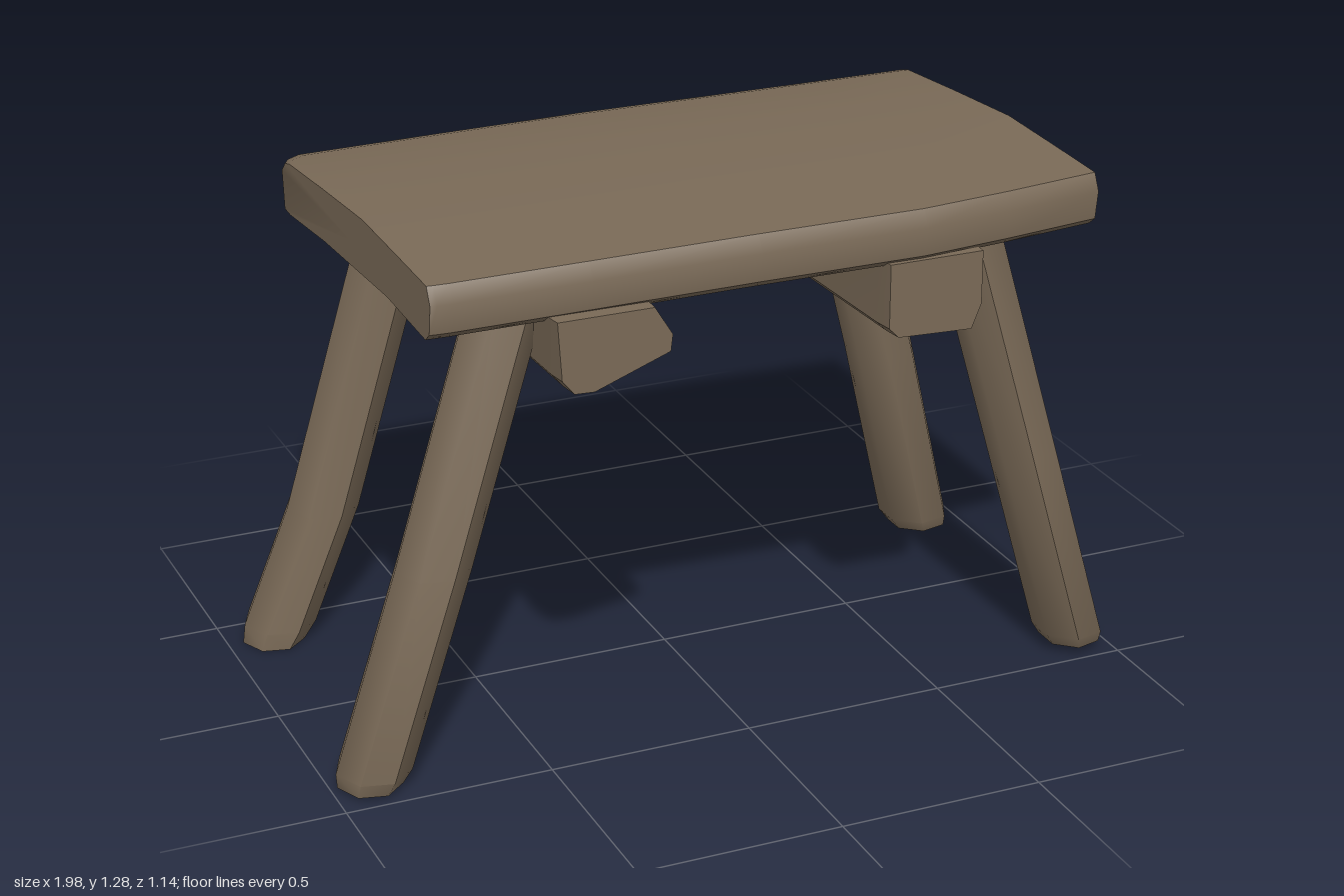
import * as THREE from 'three';
import { toCreasedNormals } from 'three/addons/utils/BufferGeometryUtils.js';

// Skin a closed solid over rings that all have the same number of [x, y, z] points.
function loft(rings, crease) {
  const n = rings[0].length, last = rings.length - 1;
  const center = (r) => [0, 1, 2].map((k) => r.reduce((s, p) => s + p[k], 0) / n);
  const points = [...rings.flat(), center(rings[0]), center(rings[last])];
  const c0 = n * rings.length, c1 = c0 + 1, tris = [];
  for (let j = 0; j < n; j++) {
    const k = (j + 1) % n;
    for (let i = 0; i < last; i++) {
      const a = i * n + j, b = i * n + k;
      tris.push([a, b, b + n], [a, b + n, a + n]);
    }
    tris.push([c0, k, j], [c1, last * n + j, last * n + k]);
  }
  // Turn the faces outward if the rings ran the other way round.
  const v = points.map((p) => new THREE.Vector3(...p));
  const volume = tris.reduce((s, [a, b, c]) => s + v[a].dot(v[b].clone().cross(v[c])), 0);
  if (volume < 0) tris.forEach((t) => t.reverse());
  const geometry = new THREE.BufferGeometry();
  geometry.setAttribute('position', new THREE.Float32BufferAttribute(points.flat(), 3));
  geometry.setIndex(tris.flat());
  return toCreasedNormals(geometry, crease);
}

export function createModel() {
  const model = new THREE.Group();
  model.name = 'stool';
  const wood = new THREE.MeshStandardMaterial({ color: 0x7a6a57 });
  wood.name = 'brown wood';
  const add = (name, geometry) => {
    const mesh = new THREE.Mesh(geometry, wood);
    mesh.name = name;
    model.add(mesh);
  };

  // Seat: one rounded plank section, carried along x with a gentle rise to the left.
  const section = [
    [1, 1.195], [0.96, 1.235], [0.6, 1.24], [0.15, 1.245], [-0.4, 1.225], [-0.88, 1.205],
    [-0.95, 1.195], [-1, 1.17], [-0.98, 1.075], [-0.9, 1.073], [-0.4, 1.095], [0.45, 1.115],
    [0.93, 1.105], [0.98, 1.125],
  ];
  const stations = [ // x, back z, front z
    [-0.77, -0.525, 0.51], [-0.755, -0.55, 0.513], [-0.72, -0.572, 0.517], [-0.4, -0.565, 0.53],
    [0, -0.552, 0.545], [0.4, -0.522, 0.567], [0.62, -0.506, 0.553], [0.86, -0.49, 0.53],
  ];
  add('seat', loft(stations.map(([x, back, front]) => section.map(([t, y]) => [
    x, y + 0.035 * (x + 0.77) / 1.63, (back + front) / 2 + t * (front - back) / 2,
  ])), 0.7));

  // Legs: splayed seven-sided posts with slightly chamfered feet.
  const leg = (name, path, rx, rz, turn) => {
    const rings = path.map(([x, y, z], i) => {
      const s = i === 0 ? 0.86 : 1;
      return Array.from({ length: 7 }, (_, j) => {
        const a = turn + j * Math.PI * 2 / 7;
        return [x + rx * s * Math.cos(a), y, z + rz * s * Math.sin(a)];
      });
    });
    add(name, loft(rings, 0.95));
  };
  leg('frontLeftLeg',
    [[0.915, 0.02, 0.405], [0.908, 0.05, 0.405], [0.77, 0.55, 0.385], [0.605, 1.15, 0.355]],
    0.085, 0.095, 0);
  leg('backLeftLeg',
    [[0.875, 0.02, -0.34], [0.865, 0.05, -0.34], [0.74, 0.55, -0.315], [0.59, 1.13, -0.305]],
    0.09, 0.092, 0);
  leg('frontRightLeg',
    [[-0.91, 0.01, 0.4], [-0.9, 0.045, 0.4], [-0.74, 0.52, 0.39], [-0.535, 1.13, 0.35]],
    0.09, 0.097, Math.PI);
  leg('backRightLeg',
    [[-0.885, 0, -0.4], [-0.865, 0.045, -0.405], [-0.745, 0.34, -0.4], [-0.54, 1.12, -0.34]],
    0.09, 0.097, Math.PI);

  // Cross battens under the seat, dropping a little toward the back.
  const batten = (name, outline) => {
    const cx = outline.reduce((s, p) => s + p[0], 0) / outline.length;
    const ends = [[0.555, 0.01, 0.96], [0.5, 0.008, 1], [-0.46, -0.025, 1], [-0.52, -0.027, 0.95]];
    add(name, loft(ends.map(([z, drop, s]) => outline.map(([x, y]) => [
      cx + (x - cx) * s, y + drop, z - (z < 0 ? (y - 1.03) * 0.1 : 0),
    ])), 0.5));
  };
  batten('leftBatten',
    [[0.31, 1.13], [0.31, 0.975], [0.335, 0.95], [0.53, 0.942], [0.555, 1.0], [0.555, 1.13]]);
  batten('rightBatten',
    [[-0.5, 1.12], [-0.49, 0.98], [-0.46, 0.945], [-0.41, 0.943], [-0.22, 1.01], [-0.215, 1.05], [-0.26, 1.12]]);

  return model;
}
